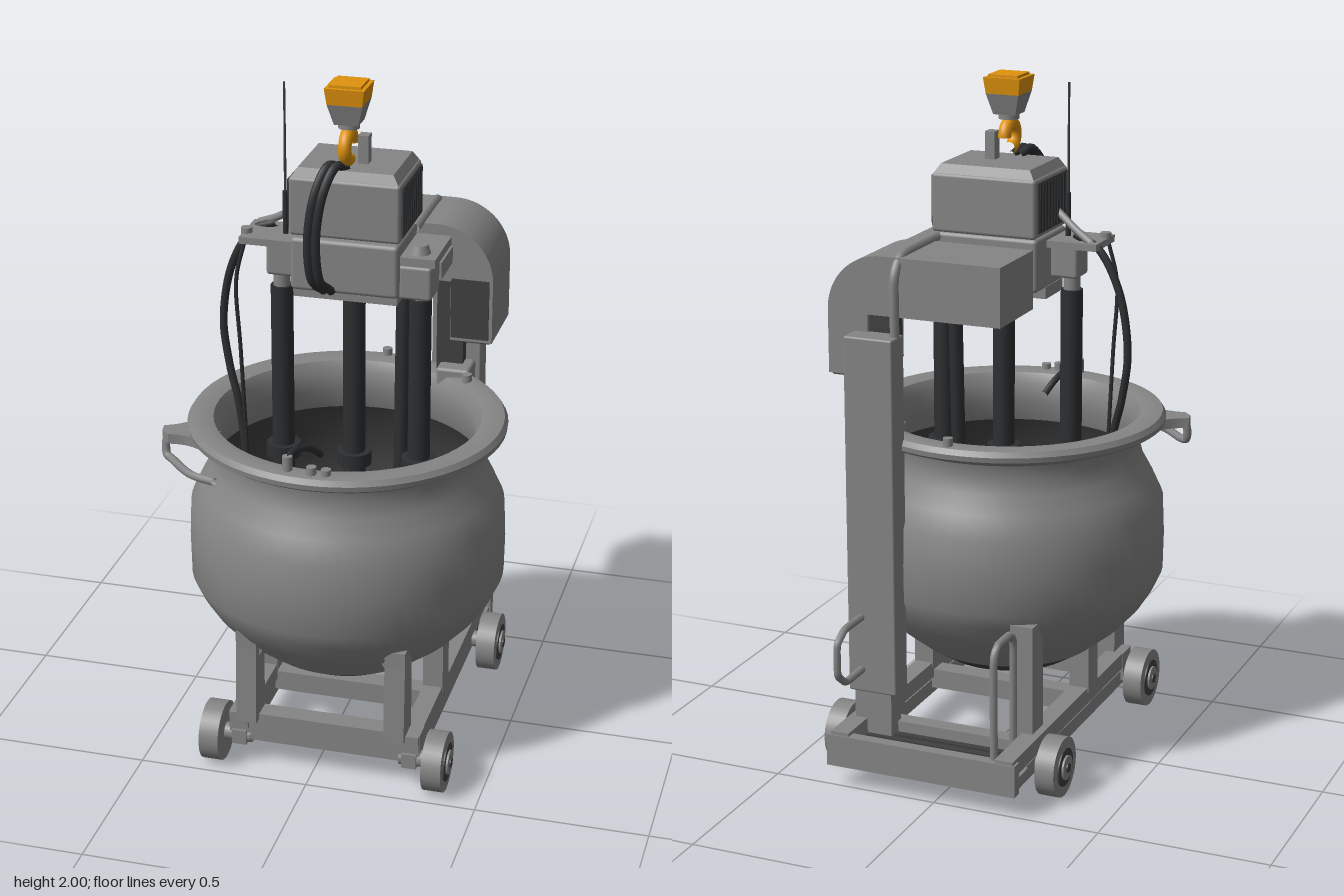
import * as THREE from 'three';
import { toCreasedNormals } from 'three/addons/utils/BufferGeometryUtils.js';
import { RoundedBoxGeometry } from 'three/addons/geometries/RoundedBoxGeometry.js';

const V = (p) => new THREE.Vector3(...p);

export function createModel() {
  const root = new THREE.Group();
  root.name = 'mixingKettle';
  const mat = (name, color, side = THREE.FrontSide) => {
    const m = new THREE.MeshStandardMaterial({ color, side });
    m.name = name;
    return m;
  };
  const steel = mat('steelGrey', 0x858585, THREE.DoubleSide);
  const dark = mat('darkGrey', 0x404040, THREE.DoubleSide);
  const black = mat('rubberBlack', 0x2c2e30);
  const orange = mat('hookOrange', 0xe0930c);

  const add = (name, geo, m, x = 0, y = 0, z = 0) => {
    const mesh = new THREE.Mesh(geo, m);
    mesh.name = name;
    mesh.position.set(x, y, z);
    root.add(mesh);
    return mesh;
  };
  // box given by its limits on each axis
  const box = (name, m, x0, x1, y0, y1, z0, z1, r = 0) => {
    const s = [x1 - x0, y1 - y0, z1 - z0];
    const g = r ? new RoundedBoxGeometry(...s, 2, r) : new THREE.BoxGeometry(...s);
    return add(name, g, m, (x0 + x1) / 2, (y0 + y1) / 2, (z0 + z1) / 2);
  };
  const post = (name, m, x, z, y0, y1, r, r2 = r, n = 20) =>
    add(name, new THREE.CylinderGeometry(r2, r, y1 - y0, n), m, x, (y0 + y1) / 2, z);
  const pipe = (name, m, pts, r, tension = 0.5) =>
    add(name, new THREE.TubeGeometry(new THREE.CatmullRomCurve3(pts.map(V), false, 'catmullrom', tension), 40, r, 8), m);
  const lathe = (name, m, pts, x, y, z, n = 64) =>
    add(name, toCreasedNormals(new THREE.LatheGeometry(pts.map((p) => new THREE.Vector2(...p)), n), 0.6), m, x, y, z);

  // Kettle: underside, wall with rolled rim, inner lining
  const KX = 0.018, KZ = 0.1;
  lathe('kettleUnderside', dark, [[0, 0.22], [0.1, 0.23], [0.2, 0.26], [0.265, 0.3]], KX, 0, KZ);
  lathe('kettleWall', steel, [[0.265, 0.3], [0.34, 0.36], [0.4, 0.425], [0.435, 0.48], [0.458, 0.53], [0.46, 0.64],
    [0.455, 0.75], [0.425, 0.815], [0.395, 0.87], [0.382, 0.92], [0.39, 0.955], [0.42, 0.972], [0.445, 0.976],
    [0.458, 0.985], [0.46, 1.0], [0.45, 1.015], [0.42, 1.02], [0.385, 1.012], [0.368, 0.98], [0.366, 0.92], [0.385, 0.86]], KX, 0, KZ);
  lathe('kettleLining', dark, [[0.385, 0.86], [0.44, 0.75], [0.445, 0.54], [0.39, 0.44], [0.33, 0.37], [0.2, 0.28], [0, 0.24]], KX, 0, KZ);

  // Pouring lip with its guard rail
  const lip = new THREE.Shape();
  lip.moveTo(-0.4, -0.2);
  lip.quadraticCurveTo(-0.43, -0.25, -0.48, -0.27);
  lip.lineTo(-0.475, -0.3);
  lip.lineTo(-0.45, -0.325);
  lip.quadraticCurveTo(-0.38, -0.31, -0.33, -0.36);
  lip.lineTo(-0.31, -0.27);
  add('pouringLip', new THREE.ExtrudeGeometry(lip, { depth: 0.03, bevelEnabled: false }), steel, 0, 0.96, 0).rotation.x = -Math.PI / 2;
  pipe('lipRail', steel, [[-0.4, 0.98, 0.28], [-0.46, 0.97, 0.29], [-0.465, 0.92, 0.3], [-0.44, 0.91, 0.32], [-0.36, 0.91, 0.4], [-0.28, 0.91, 0.43]], 0.012);

  // Rim fittings
  for (const [x, z, h] of [[-0.04, 0.515, 0.05], [0.03, 0.522, 0.03], [0.07, 0.518, 0.025], [0.025, -0.33, 0.03], [0.3, -0.2, 0.03]])
    post('rimFitting', steel, x, z, 1.0, 1.01 + h, 0.014);
  pipe('rimHose', black, [[-0.04, 1.05, 0.515], [-0.035, 1.055, 0.47], [-0.015, 1.03, 0.39], [0.005, 0.99, 0.34]], 0.01);
  box('rimHinge', steel, 0.2, 0.3, 0.94, 1.04, -0.32, -0.22, 0.01);

  // Wheeled frame
  for (const x of [-0.22, 0.29]) {
    box('sideRail', steel, x - 0.028, x + 0.028, 0.125, 0.175, -0.51, 0.44);
    box('lowerRail', steel, x - 0.022, x + 0.022, 0.07, 0.115, -0.5, 0.44);
  }
  box('frontBeam', steel, -0.25, 0.32, 0.085, 0.175, 0.37, 0.43);
  box('rearBeam', steel, -0.255, 0.33, 0.07, 0.165, -0.515, -0.48);
  box('crossBeam', steel, -0.22, 0.29, 0.09, 0.15, 0.08, 0.14);
  box('axleBeam', steel, -0.24, 0.31, 0.1, 0.16, -0.34, -0.29);
  box('rearDeck', steel, -0.25, 0.325, 0.1, 0.115, -0.49, -0.4);
  box('deckUnderside', dark, -0.24, 0.315, 0.085, 0.1, -0.48, -0.3);
  for (let i = 0; i < 4; i++) box('deckSlat', dark, -0.2, 0.27, 0.11, 0.13, -0.4 + i * 0.035, -0.38 + i * 0.035);
  for (const s of [-1, 1]) for (const z of [0.41, -0.31]) {
    const x = 0.036 + s * 0.332;
    const disc = (name, m, r, w, off) => (add(name, new THREE.CylinderGeometry(r, r, w, 32), m, x + s * off, 0.092, z).rotation.z = Math.PI / 2);
    disc('wheel', steel, 0.088, 0.058, 0);
    disc('wheelRing', dark, 0.056, 0.006, 0.03);
    disc('wheelHub', steel, 0.036, 0.012, 0.033);
    disc('axleStub', dark, 0.014, 0.004, 0.041);
    disc('axle', steel, 0.025, 0.1, -0.06);
  }

  // Kettle legs: front pair with gussets, middle pair, rear pair
  for (const s of [-1, 1]) {
    const x = 0.03 + s * 0.22;
    const leg = new THREE.Shape();
    [[0.46, 0.16], [0.37, 0.16], [0.37, 0.45], [0.45, 0.45], [0.45, 0.4]].forEach(([z, y], i) => (i ? leg.lineTo(z, y) : leg.moveTo(z, y)));
    const gl = new THREE.ExtrudeGeometry(leg, { depth: 0.06, bevelEnabled: false });
    gl.rotateY(-Math.PI / 2);
    add('frontLeg', gl, steel, x + 0.03, 0, 0);
    const gus = new THREE.Shape();
    gus.moveTo(0, 0.32); gus.lineTo(-s * 0.07, 0.43); gus.lineTo(s * 0.03, 0.43);
    add('legGusset', new THREE.ExtrudeGeometry(gus, { depth: 0.03, bevelEnabled: false }), steel, x, 0, 0.39);
    box('middleLeg', steel, 0.035 + s * 0.255 - 0.03, 0.035 + s * 0.255 + 0.03, 0.16, 0.32, 0.07, 0.145);
    box('rearLeg', steel, x - 0.035, x + 0.035, 0.16, 0.5, -0.31, -0.23);
  }

  // Lift column with guard handles
  box('liftColumn', steel, 0.165, 0.315, 0.26, 1.32, -0.395, -0.315, 0.006);
  box('columnFoot', steel, 0.185, 0.3, 0.12, 0.27, -0.385, -0.32);
  box('columnInnerRail', dark, 0.19, 0.27, 1.0, 1.38, -0.315, -0.27);
  pipe('columnHandle', steel, [[0.272, 0.33, -0.39], [0.272, 0.33, -0.5], [0.272, 0.37, -0.55], [0.272, 0.46, -0.55], [0.272, 0.49, -0.5], [0.272, 0.49, -0.39]], 0.011, 0.2);
  pipe('guardRail', steel, [[-0.18, 0.13, -0.485], [-0.18, 0.46, -0.485], [-0.18, 0.495, -0.46], [-0.18, 0.495, -0.37], [-0.18, 0.46, -0.345], [-0.18, 0.13, -0.345]], 0.012, 0.15);
  pipe('columnPipe', steel, [[0.178, 1.28, -0.345], [0.178, 1.48, -0.345], [0.178, 1.535, -0.31], [0.178, 1.545, -0.25], [0.178, 1.545, -0.03]], 0.014, 0.3);

  // Transfer duct with rounded elbow
  const duct = new THREE.Shape();
  duct.moveTo(-0.133, 1.37);
  duct.lineTo(0.27, 1.37);
  duct.lineTo(0.27, 1.19);
  duct.lineTo(0.393, 1.19);
  duct.lineTo(0.393, 1.38);
  duct.absarc(0.228, 1.375, 0.165, 0.03, Math.PI / 2, false);
  duct.lineTo(-0.133, 1.54);
  add('transferDuct', toCreasedNormals(new THREE.ExtrudeGeometry(duct, { depth: 0.235, bevelEnabled: false, curveSegments: 16 }), 0.5), steel, 0, 0, -0.328);
  box('ductFrontPanel', dark, 0.272, 0.383, 1.2, 1.38, -0.093, -0.089);
  box('ductMouth', dark, 0.28, 0.385, 1.184, 1.19, -0.32, -0.1);
  box('ductMount', steel, -0.1, 0.16, 1.4, 1.52, -0.1, -0.04);

  // Drive head with pitched cover and side grille
  box('driveHead', steel, -0.135, 0.183, 1.565, 1.735, -0.085, 0.165, 0.01);
  const cover = new THREE.CylinderGeometry(0.62, 0.707, 0.03, 4, 1).rotateY(Math.PI / 4).scale(0.31, 1, 0.243);
  add('headCover', toCreasedNormals(cover, 0.2), steel, 0.024, 1.745, 0.04);
  box('gearHousing', steel, -0.13, 0.18, 1.405, 1.56, -0.06, 0.17, 0.012);
  box('headBase', steel, -0.13, 0.17, 1.375, 1.41, 0.01, 0.14);
  for (const s of [-1, 1]) {
    const x = 0.024 + s * 0.16;
    box('grille', dark, x - 0.004, x + 0.004, 1.58, 1.725, -0.07, 0.15);
    for (let i = 0; i < 10; i++) box('grilleFin', black, x - 0.007, x + 0.007, 1.585, 1.72, -0.062 + i * 0.022, -0.053 + i * 0.022);
  }

  // Side brackets carrying the shafts
  box('rightBracket', steel, -0.28, -0.12, 1.525, 1.545, 0.015, 0.165);
  pipe('bracketStrut', steel, [[-0.26, 1.545, 0.03], [-0.2, 1.575, 0.06], [-0.13, 1.62, 0.09]], 0.011);
  box('rightBearing', steel, -0.21, -0.12, 1.43, 1.53, 0.05, 0.14, 0.01);
  box('leftBracket', steel, 0.17, 0.28, 1.5, 1.525, -0.05, 0.15);
  box('leftBearing', steel, 0.175, 0.27, 1.4, 1.5, 0.045, 0.15, 0.01);
  box('leftArm', steel, 0.18, 0.275, 1.43, 1.48, -0.09, 0.05);
  post('leftCap', steel, 0.225, 0.1, 1.52, 1.55, 0.033, 0.022);
  post('bracketBolt', steel, -0.27, 0.12, 1.54, 1.56, 0.016);
  post('antennaBase', black, -0.162, 0.1, 1.54, 1.67, 0.008);
  post('antenna', dark, -0.162, 0.1, 1.67, 1.985, 0.004, 0.003, 6);

  // Mixing shafts with collars and blades
  for (const [x, z] of [[-0.175, 0.1], [0.037, 0.1], [0.228, 0.1]]) {
    post('mixingShaft', black, x, z, 0.42, 1.39, 0.032);
    post('shaftSeal', steel, x, z, 1.385, 1.43, 0.024);
    post('shaftCollar', black, x, z, 0.86, 0.9, 0.05);
    post('shaftHub', black, x, z, 0.7, 0.76, 0.055);
    box('mixingBlade', black, x - 0.08, x + 0.08, 0.44, 0.52, z - 0.012, z + 0.012);
  }
  pipe('slantedRod', black, [[0.165, 1.4, 0.035], [0.165, 1.2, 0.045], [0.165, 0.7, 0.065]], 0.022);

  // Hoses
  pipe('supplyHose', black, [[-0.2, 1.56, 0.06], [-0.28, 1.52, 0.05], [-0.345, 1.4, 0.04], [-0.372, 1.24, 0.035], [-0.355, 1.1, 0.04], [-0.325, 0.98, 0.05], [-0.3, 0.8, 0.06]], 0.012);
  pipe('thinHose', black, [[-0.27, 1.53, 0.14], [-0.295, 1.4, 0.15], [-0.285, 1.2, 0.15], [-0.275, 0.9, 0.14]], 0.006);
  for (const d of [0, 0.022])
    pipe('headHose', black, [[0.02 - d, 1.76, 0.12], [0.0 - d, 1.775, 0.17], [-0.025 - d, 1.7, 0.215], [-0.04 - d, 1.58, 0.225], [-0.035 - d, 1.46, 0.21], [-0.01 - d, 1.41, 0.165]], 0.013);

  // Lifting hook and block
  const HX = 0.022, HZ = 0.1;
  box('liftingEye', steel, 0.04, 0.07, 1.75, 1.84, 0.04, 0.075);
  const hook = add('hook', new THREE.TorusGeometry(0.038, 0.019, 12, 28, 4.9), orange, HX, 1.82, HZ + 0.008);
  hook.rotation.set(0, Math.PI / 2, 0);
  post('hookShank', orange, HX, HZ, 1.845, 1.885, 0.018);
  post('hookNeck', steel, HX, HZ, 1.87, 1.9, 0.03);
  const block = (name, m, r0, r1, y0, y1) =>
    add(name, toCreasedNormals(new THREE.CylinderGeometry(r1 * 1.414, r0 * 1.414, y1 - y0, 4).rotateY(Math.PI / 4), 0.3), m, HX, (y0 + y1) / 2, HZ);
  block('hookBlock', steel, 0.034, 0.05, 1.885, 1.945);
  block('hookBlockBand', orange, 0.05, 0.056, 1.945, 1.992);
  block('hookBlockTop', orange, 0.045, 0.045, 1.99, 2.0);
  return root;
}
